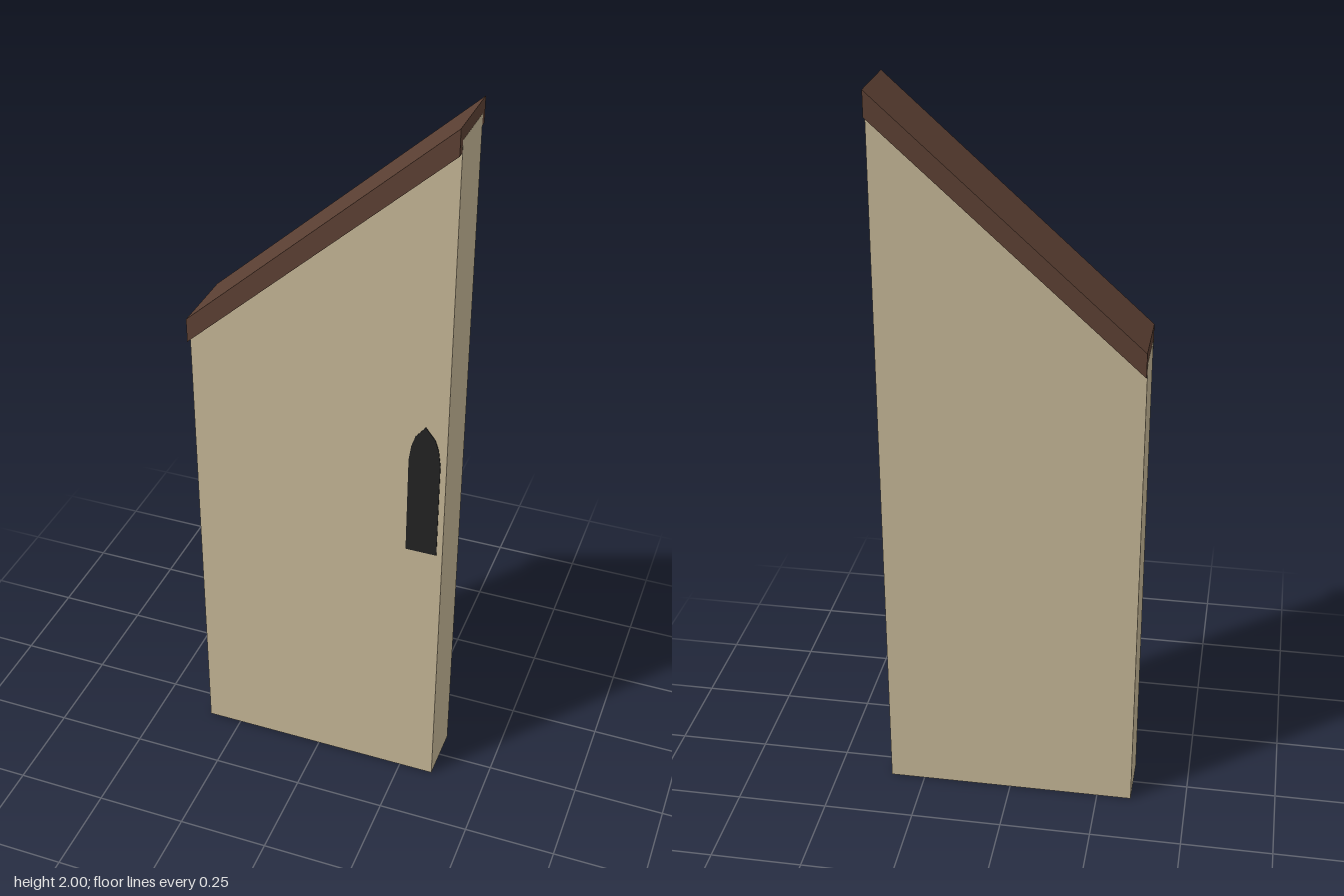
import * as THREE from 'three';

const plaster = new THREE.MeshStandardMaterial({ color: 0xc4b595 });
plaster.name = 'plaster';
const wood = new THREE.MeshStandardMaterial({ color: 0x5c4033 });
wood.name = 'brown wood';
const dark = new THREE.MeshStandardMaterial({ color: 0x222222 });
dark.name = 'dark opening';

// Extrudes an x/y outline between two depths
function slab(name, points, z0, z1, material) {
  const shape = new THREE.Shape(points.map(([x, y]) => new THREE.Vector2(x, y)));
  const geometry = new THREE.ExtrudeGeometry(shape, { depth: z1 - z0, bevelEnabled: false });
  geometry.translate(0, 0, z0);
  const mesh = new THREE.Mesh(geometry, material);
  mesh.name = name;
  return mesh;
}

export function createModel() {
  const model = new THREE.Group();
  model.name = 'slopedWall';
  const half = 0.346;

  // Wall with a slanted top that reaches into the coping
  model.add(slab('wall',
    [[-half, 0], [half, 0], [half, 1.965], [-half, 1.343]], -0.078, 0.078, plaster));

  // Sloping coping, slightly wider than the wall
  const end = half - 0.0005;
  model.add(slab('coping',
    [[-end, 1.312], [end, 1.934], [end, 2], [-end, 1.378]], -0.0975, 0.0975, wood));

  // Pointed window on the front, mirrored about its centre line
  const cx = 0.288;
  const side = [[0.042, 0.795], [0.042, 1.08], [0.036, 1.125], [0.026, 1.155]];
  const outline = [
    ...side.map(([x, y]) => [cx + x, y]),
    [cx, 1.188],
    ...side.slice().reverse().map(([x, y]) => [cx - x, y]),
  ];
  model.add(slab('window', outline, 0.077, 0.08, dark));

  return model;
}
